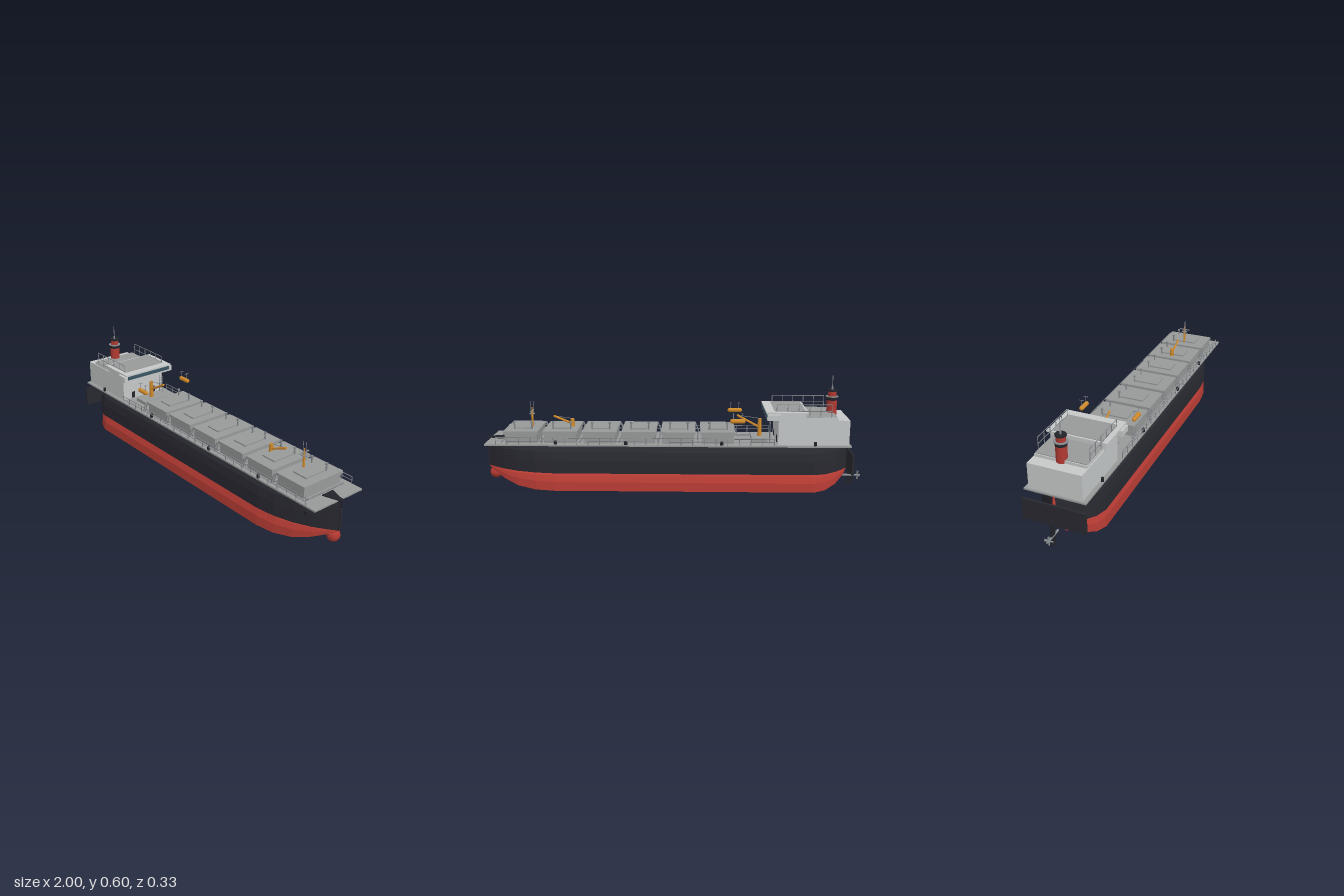
import * as THREE from 'three';

const mat = (name, color, extra = {}) => {
  const m = new THREE.MeshStandardMaterial({ color, ...extra });
  m.name = name;
  return m;
};

export function createModel() {
  const ship = new THREE.Group();
  ship.name = 'bulkCarrier';
  const open = { side: THREE.DoubleSide, flatShading: true };
  const black = mat('hullBlack', 0x282830, open);
  const red = mat('hullRed', 0xb23a32, open);
  const white = mat('houseWhite', 0xc6c9c9);
  const grey = mat('deckGrey', 0x989a9a);
  const dark = mat('darkFittings', 0x22242a);
  const orange = mat('safetyOrange', 0xd08a2a);
  const glass = mat('windowBlue', 0x3a5563);
  const steel = mat('steel', 0x858a8e);

  const add = (name, geo, m, x = 0, y = 0, z = 0, parent = ship) => {
    const mesh = new THREE.Mesh(geo, m);
    mesh.name = name;
    mesh.position.set(x, y, z);
    parent.add(mesh);
    return mesh;
  };
  // box given by its limits
  const box = (name, m, x0, x1, y0, y1, z0, z1, parent) =>
    add(name, new THREE.BoxGeometry(x1 - x0, y1 - y0, z1 - z0), m,
      (x0 + x1) / 2, (y0 + y1) / 2, (z0 + z1) / 2, parent);
  const cyl = (name, m, r, y0, y1, x, z, r2 = r, sides = 12, parent) =>
    add(name, new THREE.CylinderGeometry(r2, r, y1 - y0, sides), m, x, (y0 + y1) / 2, z, parent);
  // round bar between two points
  const bar = (name, m, a, b, r, parent, sides = 6) => {
    const p = new THREE.Vector3(...a), q = new THREE.Vector3(...b);
    const d = q.clone().sub(p);
    const mesh = add(name, new THREE.CylinderGeometry(r, r, d.length(), sides), m, 0, 0, 0, parent);
    mesh.position.copy(p).add(q).multiplyScalar(0.5);
    mesh.quaternion.setFromUnitVectors(new THREE.Vector3(0, 1, 0), d.normalize());
    return mesh;
  };
  const group = (name) => {
    const g = new THREE.Group();
    g.name = name;
    ship.add(g);
    return g;
  };

  // hull stations: x, width factor, height of the lower red edge
  const stations = [
    [-0.92, 0.05, 0.103], [-0.9, 0.25, 0.075], [-0.85, 0.6, 0.04], [-0.79, 0.88, 0.018],
    [-0.73, 1, 0.01], [0.62, 1, 0.01], [0.72, 0.92, 0.012], [0.82, 0.73, 0.025],
    [0.9, 0.48, 0.052], [0.96, 0.22, 0.08], [0.995, 0.04, 0.1]];
  // one side of the shell, from [height fraction, width fraction] pairs
  const shell = (name, m, profile, low, high, s) => {
    const pos = [], idx = [], n = profile.length;
    stations.forEach(([x, f, rim], i) => {
      profile.forEach(([t, w], j) => {
        const y0 = low ?? rim;
        pos.push(x, y0 + (high - y0) * t, s * 0.161 * f * w);
        if (i && j) {
          const a = (i - 1) * n + j - 1, b = a + 1, c = a + n, d = c + 1;
          if (s > 0) idx.push(a, c, b, b, c, d);
          else idx.push(a, b, c, b, d, c);
        }
      });
    });
    const g = new THREE.BufferGeometry();
    g.setAttribute('position', new THREE.Float32BufferAttribute(pos, 3));
    g.setIndex(idx);
    g.computeVertexNormals();
    add(name, g, m);
  };
  for (const s of [1, -1]) {
    shell('upperHull', black, [[0, 1], [0.45, 0.98], [0.74, 0.925], [0.86, 0.83], [0.97, 0.62]], 0.105, 0.255, s);
    shell('lowerHull', red, [[0, 1], [0.47, 0.955], [0.78, 0.85], [0.97, 0.62], [1, 0]], null, 0.106, s);
    box('anchor', dark, 0.87, 0.89, 0.172, 0.188, s * 0.097 - 0.01, s * 0.097 + 0.01);
  }
  box('keel', red, -0.82, 0.7, 0, 0.008, -0.006, 0.006);
  box('stem', black, 0.985, 1, 0.105, 0.215, -0.007, 0.007);
  box('transom', black, -0.932, -0.92, 0.105, 0.212, -0.16, 0.16);
  add('bulb', new THREE.SphereGeometry(0.033, 12, 8), red, 0.964, 0.066, 0);

  // rudder and propeller
  box('rudder', dark, -0.962, -0.93, 0.01, 0.135, -0.004, 0.004);
  bar('propellerShaft', steel, [-0.9, 0.06, 0], [-1, 0.06, 0], 0.006, ship, 8);
  for (let i = 0; i < 4; i++) {
    const blade = add('propellerBlade', new THREE.BoxGeometry(0.005, 0.022, 0.01), steel, -0.985, 0.06, 0);
    blade.rotation.set(i * Math.PI / 2, 0, 0);
    blade.translateY(0.011);
    blade.rotateY(0.5);
  }

  // deck and foredeck plate
  box('deck', grey, -0.915, 0.98, 0.249, 0.257, -0.155, 0.155);
  const plate = new THREE.Shape([[0.91, 0.035], [0.91, -0.035], [0.98, -0.012], [0.997, -0.012],
    [0.997, 0.012], [0.98, 0.012]].map(([x, z]) => new THREE.Vector2(x, z)));
  const foredeck = add('foredeckPlate', new THREE.ExtrudeGeometry(plate, { depth: 0.006, bevelEnabled: false }), dark, 0, 0.263, 0);
  foredeck.rotation.x = Math.PI / 2;

  // cargo hatches with lids, vents and side steps
  for (let i = 0; i < 6; i++) {
    const x = -0.23 + i * 0.205;
    const h = group('cargoHatch');
    box('coaming', grey, x - 0.083, x + 0.083, 0.257, 0.306, -0.12, 0.12, h);
    box('hatchCover', grey, x - 0.09, x + 0.09, 0.306, 0.32, -0.126, 0.126, h);
    box('hatchLid', grey, x - 0.042, x + 0.042, 0.32, 0.327, -0.066, 0.066, h);
    for (const dx of [-0.05, 0.042]) {
      cyl('vent', steel, 0.004, 0.32, 0.354, x + dx, -0.065, 0.004, 8, h);
      cyl('ventCap', steel, 0.007, 0.352, 0.36, x + dx, -0.065, 0.007, 8, h);
    }
    for (const z of [0.122, 0.136]) bar('hatchLadder', steel, [x - 0.112, 0.257, z], [x - 0.09, 0.315, z], 0.0025, h);
    for (let k = 1; k < 5; k++) {
      const t = k / 5;
      bar('ladderRung', steel, [x - 0.112 + 0.022 * t, 0.257 + 0.058 * t, 0.122],
        [x - 0.112 + 0.022 * t, 0.257 + 0.058 * t, 0.136], 0.002, h);
    }
    bar('crossPipe', steel, [x + 0.102, 0.262, -0.12], [x + 0.102, 0.262, 0.12], 0.004, h);
  }

  // railings: posts joined by two bars
  const railing = (x0, x1, y, height, z, count) => {
    const g = group('railing');
    for (let i = 0; i <= count; i++) {
      const x = x0 + (x1 - x0) * i / count;
      bar('railPost', steel, [x, y, z], [x, y + height, z], 0.002, g, 5);
    }
    for (const t of [0.5, 1]) bar('rail', steel, [x0, y + height * t, z], [x1, y + height * t, z], 0.002, g, 5);
  };
  for (const s of [1, -1]) {
    railing(-0.52, 0.92, 0.257, 0.036, s * 0.151, 24);
    railing(-0.81, -0.53, 0.4, 0.068, s * 0.128, 5);
    for (const x of [-0.73, -0.25, 0.245, 0.61]) cyl('bollard', dark, 0.008, 0.257, 0.276, x, s * 0.146, 0.008, 8);
  }

  // accommodation house and bridge
  box('house', white, -0.905, -0.54, 0.257, 0.388, -0.135, 0.135);
  box('upperTier', white, -0.845, -0.53, 0.388, 0.402, -0.13, 0.13);
  box('tierRoof', grey, -0.84, -0.53, 0.402, 0.406, -0.128, 0.128);
  box('bridge', white, -0.68, -0.485, 0.388, 0.425, -0.138, 0.138);
  box('bridgeWings', white, -0.545, -0.48, 0.39, 0.42, -0.163, 0.163);
  box('bridgeRoof', white, -0.69, -0.475, 0.425, 0.432, -0.154, 0.154);
  box('bridgeWindows', glass, -0.48, -0.475, 0.402, 0.421, -0.14, 0.14);
  box('roofPanel', grey, -0.68, -0.52, 0.432, 0.434, -0.128, 0.128);
  for (const z of [-0.07, 0.07]) box('houseDoor', dark, -0.54, -0.537, 0.26, 0.295, z - 0.01, z + 0.01);

  // ladder on the house front and deck gear
  for (const z of [-0.088, -0.107]) bar('houseLadder', steel, [-0.5, 0.257, z], [-0.5, 0.372, z], 0.0025);
  for (let y = 0.275; y < 0.37; y += 0.016) bar('houseRung', steel, [-0.5, y, -0.088], [-0.5, y, -0.107], 0.002);
  box('winchBase', grey, -0.49, -0.41, 0.257, 0.275, -0.08, 0.08);
  for (const z of [-0.05, 0.05]) bar('deckPipe', steel, [-0.41, 0.265, z], [-0.32, 0.265, z], 0.004);

  // funnel and its mast, stacked from the bottom up
  for (const [name, m, r, y0, y1] of [
    ['funnelBase', red, 0.027, 0.388, 0.47], ['funnelBand', dark, 0.028, 0.47, 0.487],
    ['funnelRing', steel, 0.033, 0.487, 0.491], ['funnelTop', red, 0.022, 0.491, 0.517],
    ['funnelCap', dark, 0.027, 0.517, 0.525], ['mastFoot', steel, 0.005, 0.525, 0.54],
    ['mast', steel, 0.002, 0.54, 0.6]]) cyl(name, m, r, y0, y1, -0.83, 0, r, 16);

  // deck cranes
  const crane = (x, y0, y1, a, b) => {
    const g = group('deckCrane');
    cyl('cranePost', orange, 0.012, y0, y1, x, 0, 0.01, 10, g);
    bar('craneBoom', orange, a, b, 0.006, g, 8);
    bar('craneCable', steel, [x, y1, 0], b, 0.0015, g, 5);
  };
  crane(-0.455, 0.257, 0.368, [-0.455, 0.32, 0], [-0.335, 0.385, 0]);
  crane(0.54, 0.32, 0.362, [0.54, 0.335, 0], [0.64, 0.376, 0]);

  // foremast
  cyl('foremast', orange, 0.006, 0.32, 0.4, 0.755, 0);
  cyl('foremastTop', orange, 0.003, 0.4, 0.422, 0.755, 0);
  cyl('foremastPlatform', steel, 0.015, 0.386, 0.39, 0.755, 0);
  box('foremastYard', steel, 0.752, 0.758, 0.401, 0.405, -0.03, 0.03);
  for (const x of [0.746, 0.764]) cyl('antenna', steel, 0.0015, 0.39, 0.455, x, 0, 0.0015, 5);

  // lifeboats with davits
  for (const s of [1, -1]) {
    const boat = add('lifeboat', new THREE.CapsuleGeometry(0.012, 0.056, 4, 10), orange, -0.33, 0.383, s * 0.142);
    boat.rotation.z = Math.PI / 2;
    for (const x of [-0.352, -0.308]) {
      bar('davit', steel, [x, 0.39, s * 0.142], [x, 0.424, s * 0.142], 0.002);
      bar('davitArm', steel, [x, 0.424, s * 0.13], [x, 0.424, s * 0.154], 0.002);
    }
  }
  return ship;
}
